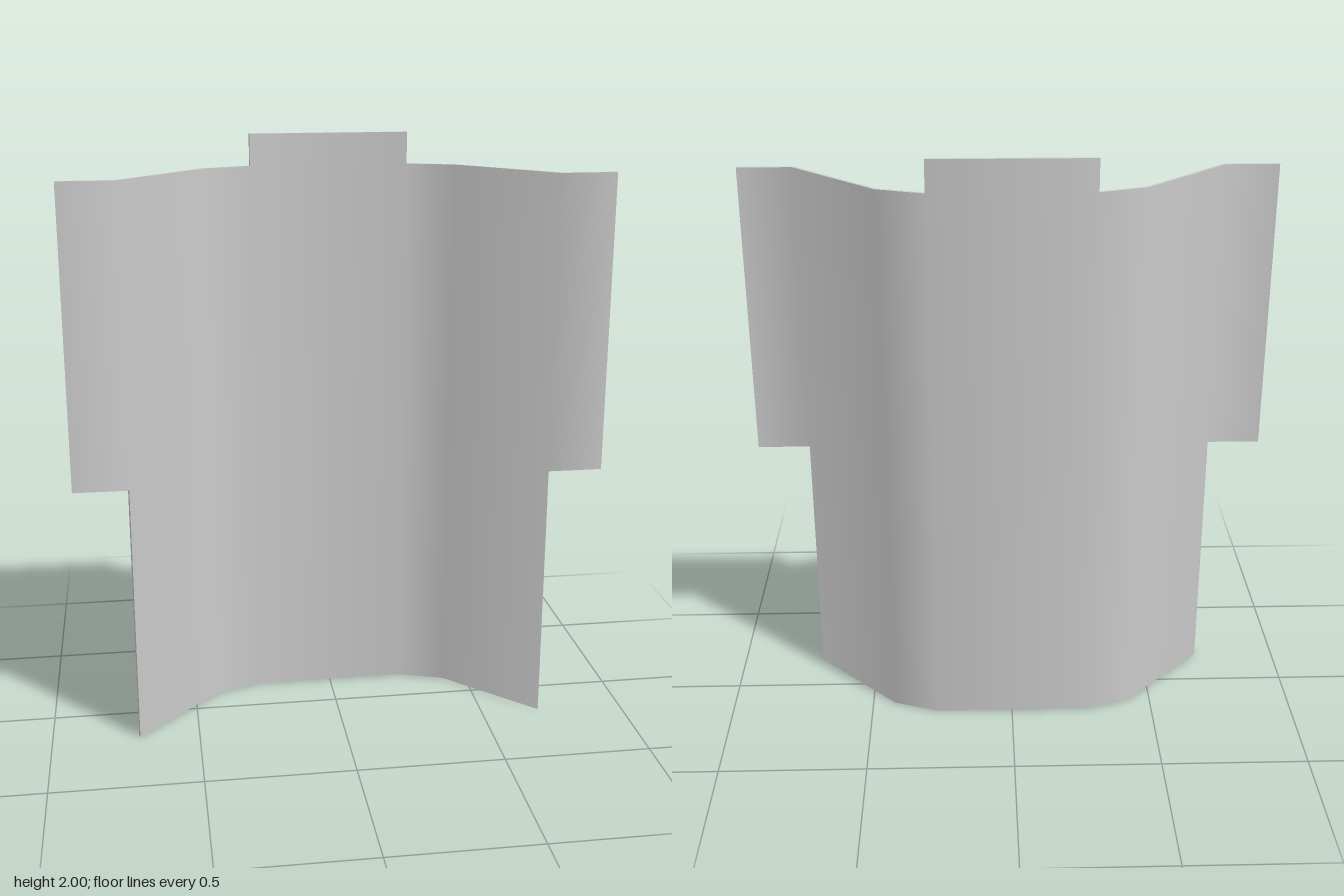
import * as THREE from 'three';

// Plan of the folded sheet's mid-line [x, z], mirrored left to right
const half = [[0.265, -0.17], [0.42, -0.116], [0.705, 0.17], [0.887, 0.17]];
const plan = [...half.map(([x, z]) => [-x, z]).reverse(), ...half]
  .map(([x, z]) => new THREE.Vector3(x, 0, z));
const HALF_THICKNESS = 0.005;
const SHOULDER = 1.895, FLANGE_BOTTOM = 0.895, TOP = 2;

// Front-facing normal of each segment, and the averaged normal at each fold
const segNormals = plan.slice(1).map((p, i) => {
  const d = p.clone().sub(plan[i]).normalize();
  return new THREE.Vector3(-d.z, 0, d.x);
});
const folds = plan.map((p, i) => {
  const a = segNormals[Math.max(i - 1, 0)];
  const b = segNormals[Math.min(i, segNormals.length - 1)];
  const normal = a.clone().add(b).normalize();
  const offset = normal.clone().multiplyScalar(HALF_THICKNESS / normal.dot(b));
  return { normal, front: p.clone().add(offset), back: p.clone().sub(offset) };
});

const at = (p, y) => new THREE.Vector3(p.x, y, p.z);

// Collects four-cornered faces, counter-clockwise from outside
function faceBuilder() {
  const positions = [], normals = [];
  return {
    quad(corners, cornerNormals) {
      const flat = corners[1].clone().sub(corners[0])
        .cross(corners[2].clone().sub(corners[0])).normalize();
      for (const k of [0, 1, 2, 0, 2, 3]) {
        positions.push(...corners[k].toArray());
        normals.push(...(cornerNormals ? cornerNormals[k] : flat).toArray());
      }
    },
    mesh(name) {
      const geometry = new THREE.BufferGeometry();
      geometry.setAttribute('position', new THREE.Float32BufferAttribute(positions, 3));
      geometry.setAttribute('normal', new THREE.Float32BufferAttribute(normals, 3));
      const mesh = new THREE.Mesh(geometry, new THREE.MeshStandardMaterial({ color: 0xcccccc }));
      mesh.name = name;
      return mesh;
    },
  };
}

// A stretch of sheet between two folds: smooth skins, flat rims.
// leftCap / rightCap give the height to which the end at -x / +x is closed.
function sheet(name, { from, to, y0, y1, leftCap = y0, rightCap = y0, bottom = true, openTop = -1 }) {
  const faces = faceBuilder();
  for (let i = from; i < to; i++) {
    const a = folds[i], b = folds[i + 1];
    const an = a.normal.clone().negate(), bn = b.normal.clone().negate();
    faces.quad([at(a.front, y0), at(b.front, y0), at(b.front, y1), at(a.front, y1)],
      [a.normal, b.normal, b.normal, a.normal]);
    faces.quad([at(b.back, y0), at(a.back, y0), at(a.back, y1), at(b.back, y1)],
      [bn, an, an, bn]);
    if (i !== openTop) faces.quad([at(a.front, y1), at(b.front, y1), at(b.back, y1), at(a.back, y1)]);
    if (bottom) faces.quad([at(a.back, y0), at(b.back, y0), at(b.front, y0), at(a.front, y0)]);
  }
  const l = folds[from], r = folds[to];
  if (leftCap > y0) faces.quad([at(l.back, y0), at(l.front, y0), at(l.front, leftCap), at(l.back, leftCap)]);
  if (rightCap > y0) faces.quad([at(r.front, y0), at(r.back, y0), at(r.back, rightCap), at(r.front, rightCap)]);
  return faces.mesh(name);
}

export function createModel() {
  const group = new THREE.Group();
  group.name = 'foldedPanel';
  group.add(
    // Main curved panel, its ends exposed only below the flanges
    sheet('panel', { from: 1, to: 6, y0: 0, y1: SHOULDER, leftCap: FLANGE_BOTTOM, rightCap: FLANGE_BOTTOM, openTop: 3 }),
    // Flat tab rising from the middle
    sheet('topTab', { from: 3, to: 4, y0: SHOULDER, y1: TOP, leftCap: TOP, rightCap: TOP, bottom: false }),
    // Flat side flanges
    sheet('rightFlange', { from: 0, to: 1, y0: FLANGE_BOTTOM, y1: SHOULDER, leftCap: SHOULDER }),
    sheet('leftFlange', { from: 6, to: 7, y0: FLANGE_BOTTOM, y1: SHOULDER, rightCap: SHOULDER }),
  );
  return group;
}
